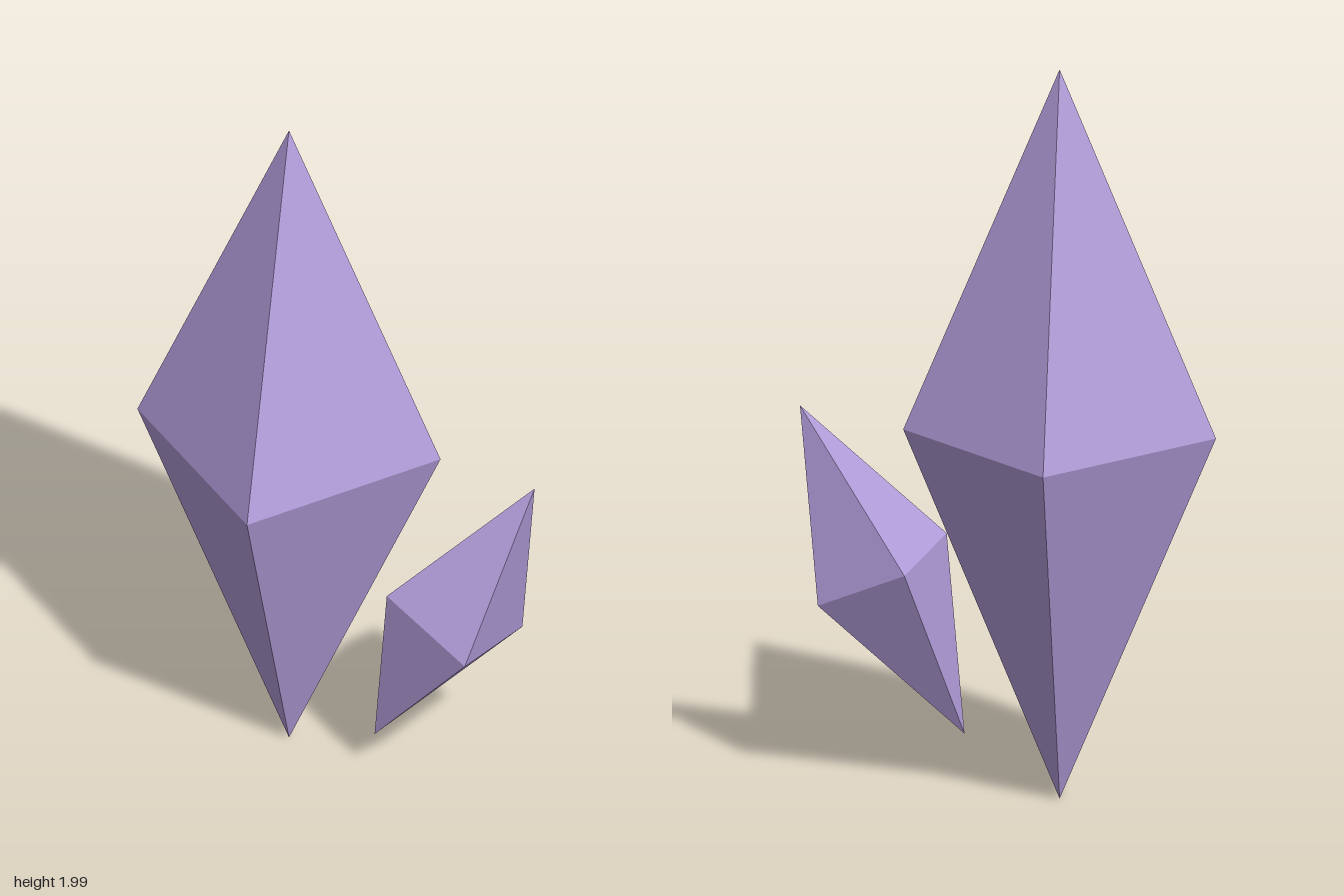
import * as THREE from 'three';

// Four-sided double-pointed crystal: girdle corners on the x and z axes
function crystal(name, radius, halfHeight, material) {
  const geometry = new THREE.OctahedronGeometry(1, 0);
  geometry.scale(radius, halfHeight, radius);
  const mesh = new THREE.Mesh(geometry, material);
  mesh.name = name;
  return mesh;
}

export function createModel() {
  const group = new THREE.Group();
  group.name = 'crystals';

  const lilac = new THREE.MeshStandardMaterial({ color: 0xb19cd9, flatShading: true });
  lilac.name = 'lilac';

  // Tall upright crystal
  const large = crystal('largeCrystal', 0.413, 0.997, lilac);
  large.position.set(-0.145, 1.003, 0);

  // Small crystal, twisted about its axis and leaning outward
  const small = crystal('smallCrystal', 0.199, 0.4935, lilac);
  small.position.set(0.334, 0.589, 0.1);
  small.rotation.set(-0.01, 0.444, -0.459, 'ZYX');

  group.add(large, small);
  return group;
}
